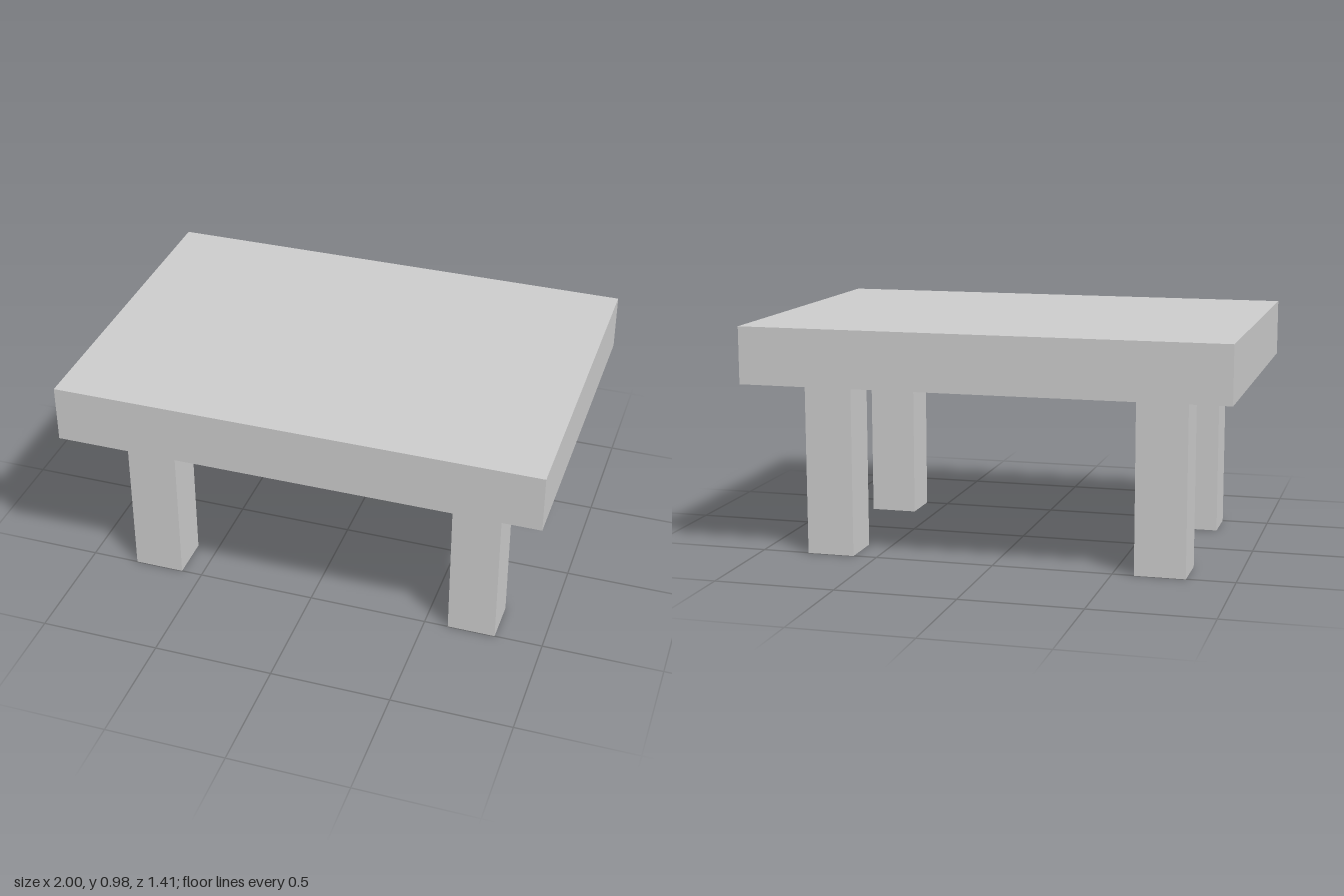
import * as THREE from 'three';

const material = new THREE.MeshStandardMaterial({ color: 0xcccccc, flatShading: true });

// Box given by its min and max along each axis
function block(name, [x0, x1], [y0, y1], [z0, z1]) {
  const mesh = new THREE.Mesh(new THREE.BoxGeometry(x1 - x0, y1 - y0, z1 - z0), material);
  mesh.position.set((x0 + x1) / 2, (y0 + y1) / 2, (z0 + z1) / 2);
  mesh.name = name;
  return mesh;
}

export function createModel() {
  const table = new THREE.Group();
  table.name = 'table';

  const underside = 0.742;

  // Thick slab top
  table.add(block('tableTop', [-1, 1], [underside, 0.978], [-0.705, 0.705]));

  // Four square legs, set in from the edges
  const columns = { Right: [-0.8, -0.59], Left: [0.6, 0.8] };
  const rows = { front: [0.312, 0.5], back: [-0.503, -0.309] };
  for (const [side, x] of Object.entries(columns)) {
    for (const [end, z] of Object.entries(rows)) {
      table.add(block(`${end}${side}Leg`, x, [0, underside], z));
    }
  }

  return table;
}
